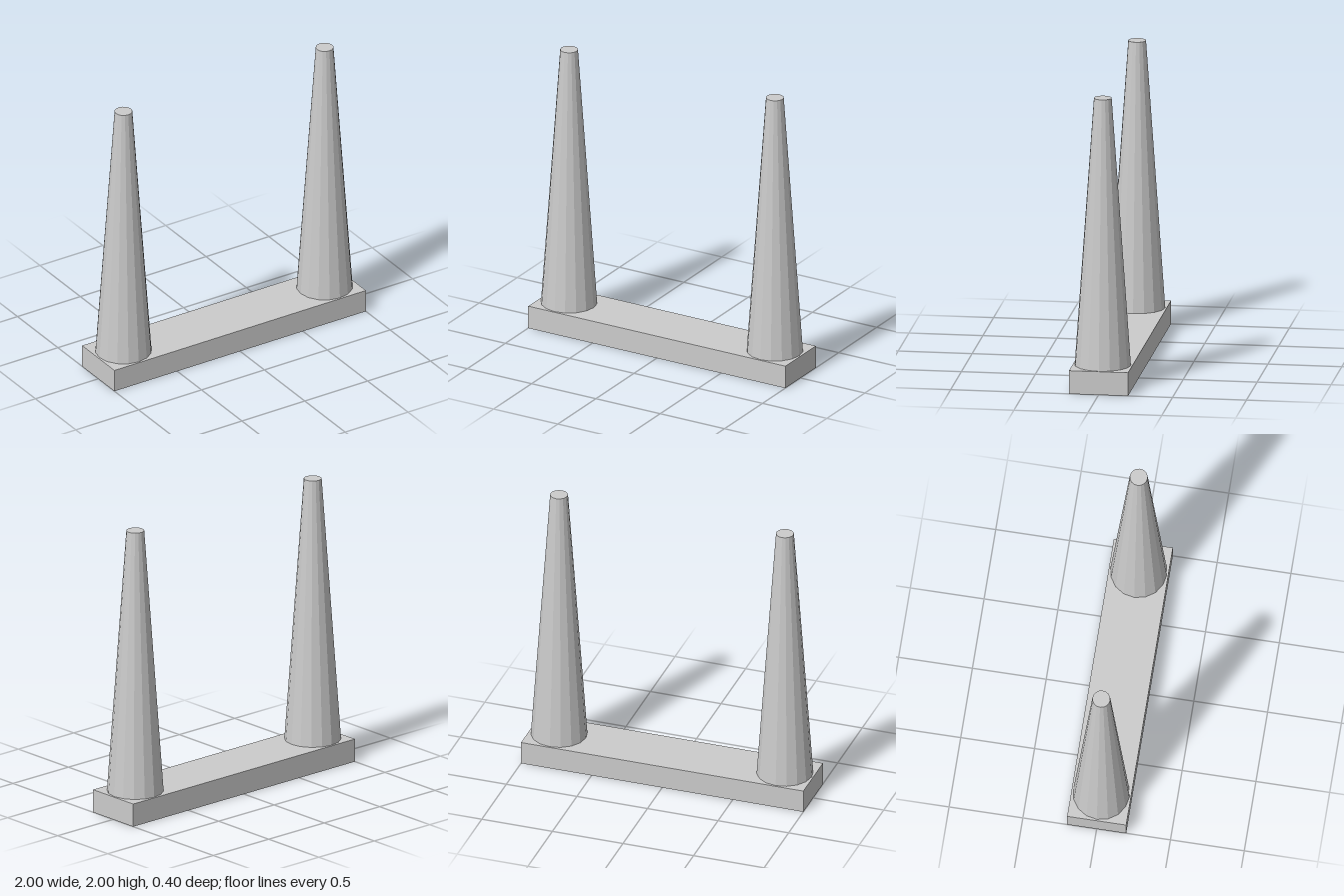
import * as THREE from 'three';

export function createModel() {
  const model = new THREE.Group();
  const material = new THREE.MeshStandardMaterial({ color: 0xcccccc, flatShading: true });

  // Flat rectangular base
  const baseHeight = 0.16;
  const base = new THREE.Mesh(new THREE.BoxGeometry(2, baseHeight, 0.4), material);
  base.name = 'base';
  base.position.y = baseHeight / 2;
  model.add(base);

  // Two tapered posts standing on the ends of the base
  const postHeight = 2 - baseHeight;
  const postGeometry = new THREE.CylinderGeometry(0.06, 0.19, postHeight, 16);
  for (const [name, x] of [['leftPost', 0.8], ['rightPost', -0.8]]) {
    const post = new THREE.Mesh(postGeometry, material);
    post.name = name;
    post.position.set(x, baseHeight + postHeight / 2, 0);
    model.add(post);
  }

  return model;
}
